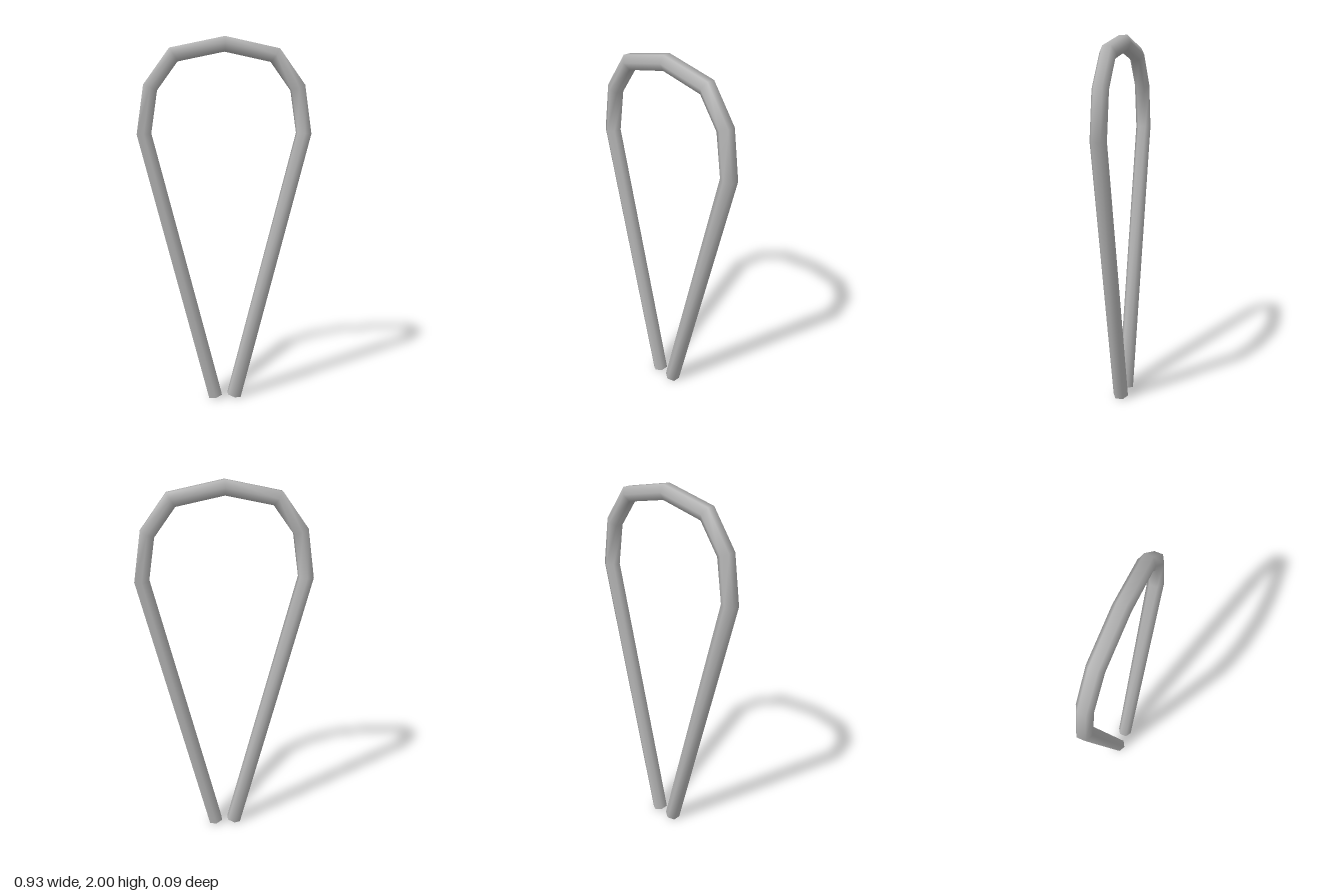
import * as THREE from 'three';

const SIDES = 6, RADIUS = 0.043;

// Centreline of one half, from the foot up to the crown, then mirrored
const half = [[0.054, 0.009], [0.427, 1.5], [0.39, 1.74], [0.267, 1.907], [0, 1.9625]];
const path = [...half, ...half.slice(0, -1).reverse().map(([x, y]) => [-x, y])]
  .map(([x, y]) => new THREE.Vector2(x, y));

// Hexagonal ring at a path point, mitred between its two segments
function ring(i) {
  const p = path[i];
  const before = i > 0 ? p.clone().sub(path[i - 1]).normalize() : null;
  const after = i < path.length - 1 ? path[i + 1].clone().sub(p).normalize() : null;
  const t = (before || after).clone().add(after || before).normalize();
  const reach = RADIUS / t.dot(before || after);
  const points = [];
  for (let k = 0; k < SIDES; k++) {
    const a = Math.PI / 6 + (k / SIDES) * Math.PI * 2;
    const s = Math.cos(a) * reach;
    points.push([p.x + t.y * s, p.y - t.x * s, Math.sin(a) * RADIUS]);
  }
  return points;
}

function makeGeometry(points, index) {
  const geo = new THREE.BufferGeometry();
  geo.setAttribute('position', new THREE.Float32BufferAttribute(points.flat(), 3));
  geo.setIndex(index);
  geo.computeVertexNormals();
  return geo;
}

export function createModel() {
  const group = new THREE.Group();
  group.name = 'wireLoop';
  const greyMetal = new THREE.MeshStandardMaterial({ color: 0xb4b4b4 });
  greyMetal.name = 'grey metal';
  const add = (name, geo) => {
    const mesh = new THREE.Mesh(geo, greyMetal);
    mesh.name = name;
    group.add(mesh);
  };

  // Bent rod, smooth around and along
  const rings = path.map((_, i) => ring(i));
  const index = [];
  for (let i = 0; i < rings.length - 1; i++) {
    for (let k = 0; k < SIDES; k++) {
      const a = i * SIDES + k, b = i * SIDES + (k + 1) % SIDES;
      index.push(a, a + SIDES, b, b, a + SIDES, b + SIDES);
    }
  }
  add('bentRod', makeGeometry(rings.flat(), index));

  // Flat caps on the two feet
  const fan = [];
  for (let k = 1; k < SIDES - 1; k++) fan.push(0, k, k + 1);
  add('leftEndCap', makeGeometry(rings[0], fan));
  add('rightEndCap', makeGeometry([...rings[rings.length - 1]].reverse(), fan));

  return group;
}
